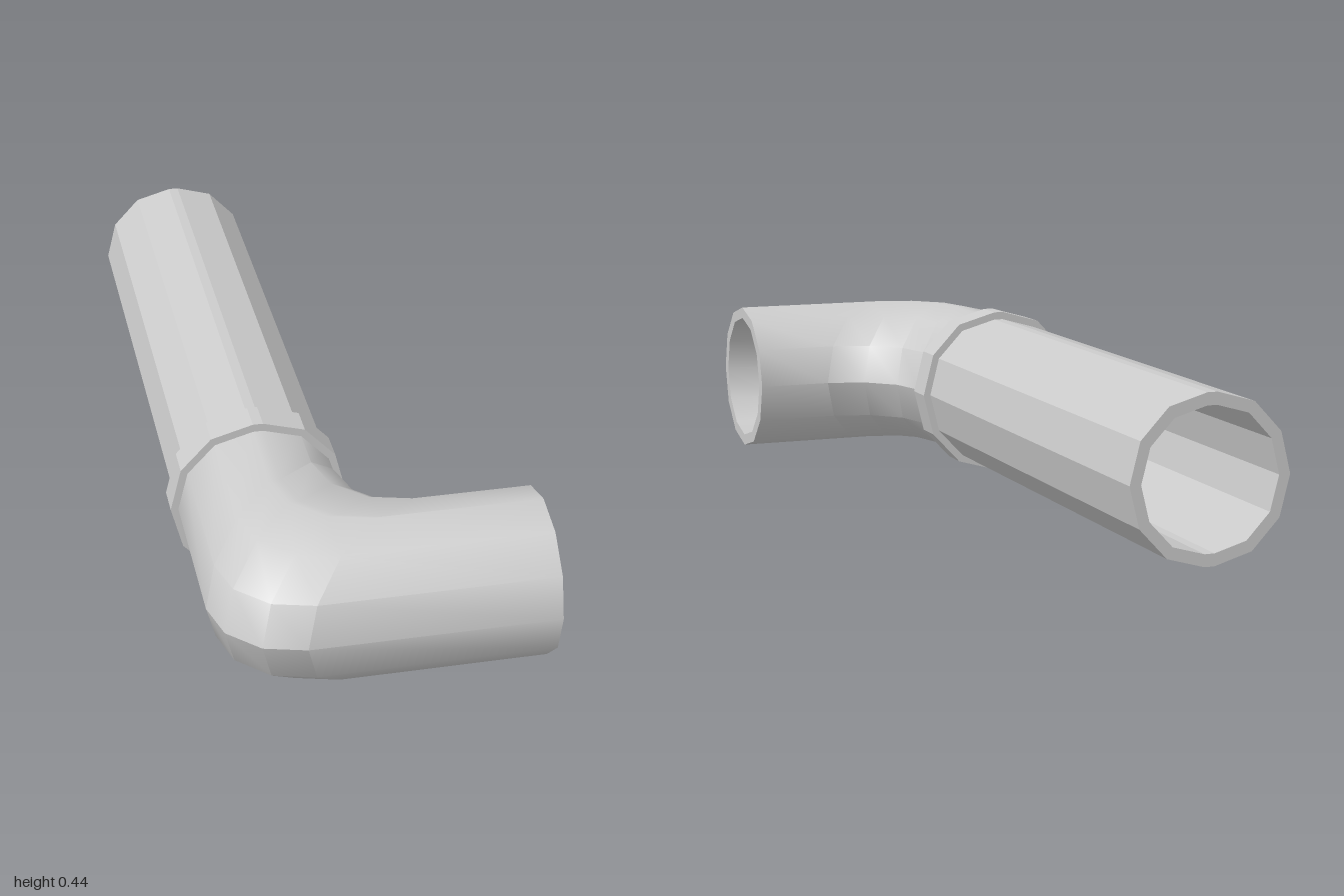
import * as THREE from 'three';
import { toCreasedNormals } from 'three/addons/utils/BufferGeometryUtils.js';

const CY = 0.22;      // height of the pipe axis
const BEND_Z = 0.8;   // axis of the short leg
const FILLET = 0.2;   // bend radius of every lengthwise line
const JOINT_Z = 0.34; // where elbow and long pipe meet, under the collar

// Twelve-sided section, parted at the middle by a narrow flat at top and bottom
function section(r) {
  const pts = [];
  for (const [cx, start] of [[-0.175, -90], [-0.2, 90]]) {
    for (let k = 0; k <= 6; k++) {
      const a = THREE.MathUtils.degToRad(start + k * 30);
      pts.push({ x: cx + 0.94 * r * Math.cos(a), y: CY + r * Math.sin(a), u: r * Math.cos(a) });
    }
  }
  return pts;
}

const straightRing = (r, z) => section(r).map(p => [p.x, p.y, z]);

// Ring of the bend at angle t (0 = long leg, PI/2 = short leg)
const bendRing = (r, t) => section(r).map(p => [
  p.x + FILLET * (1 - Math.cos(t)),
  p.y,
  BEND_Z - p.u - FILLET * (1 - Math.sin(t)),
]);

const endRing = (r, x) => section(r).map(p => [x, p.y, BEND_Z - p.u]);

// Hollow shell: outer rings forward, inner rings back, closed at both ends
function shell(name, outer, inner, crease) {
  const rings = [...outer, ...inner.reverse()];
  const n = rings[0].length;
  const index = [];
  for (let j = 0; j < rings.length; j++) {
    const k = (j + 1) % rings.length;
    for (let i = 0; i < n; i++) {
      const m = (i + 1) % n;
      const a = j * n + i, b = j * n + m, c = k * n + m, d = k * n + i;
      index.push(a, b, c, a, c, d);
    }
  }
  const geo = new THREE.BufferGeometry();
  geo.setAttribute('position', new THREE.Float32BufferAttribute(rings.flat(2), 3));
  geo.setIndex(index);
  const mesh = new THREE.Mesh(
    toCreasedNormals(geo, crease),
    new THREE.MeshStandardMaterial({ color: 0xcccccc })
  );
  mesh.name = name;
  return mesh;
}

export function createModel() {
  const group = new THREE.Group();
  group.name = 'elbowPipe';

  // Long straight pipe
  const pipe = r => [straightRing(r, -1), straightRing(r, JOINT_Z)];
  group.add(shell('longPipe', pipe(0.2), pipe(0.17), 0.2));

  // Elbow with its short leg
  const elbow = r => [
    straightRing(r, JOINT_Z),
    ...[0, 1, 2, 3].map(k => bendRing(r, k * Math.PI / 6)),
    endRing(r, 0.405),
  ];
  group.add(shell('elbow', elbow(0.2), elbow(0.17), 0.6));

  // Collar over the joint
  const collar = r => [straightRing(r, 0.3), straightRing(r, 0.38)];
  group.add(shell('collar', collar(0.22), collar(0.195), 0.2));

  return group;
}
